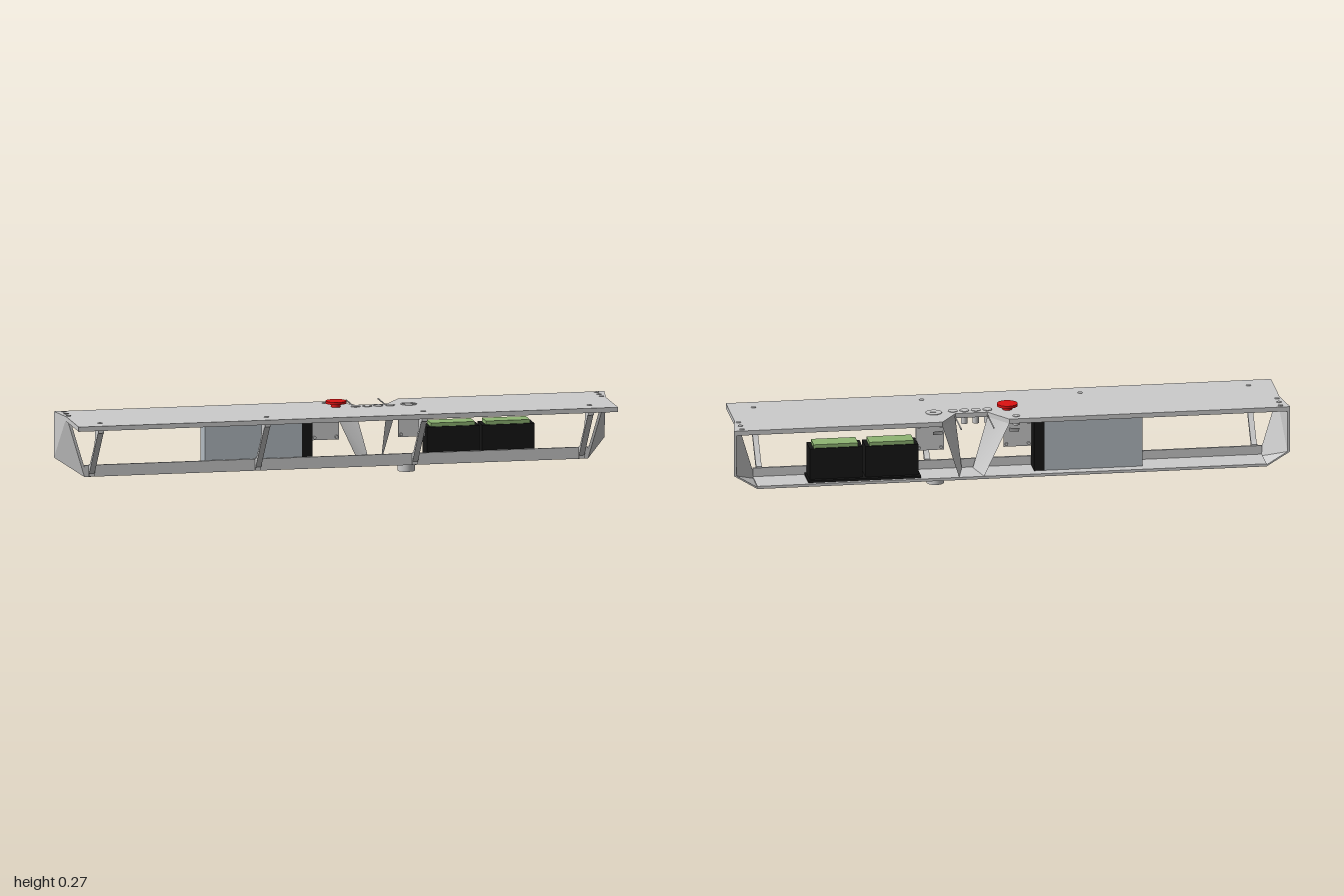
import * as THREE from 'three';

const mat = (color = 0xcccccc, side = THREE.FrontSide) =>
  new THREE.MeshStandardMaterial({ color, side, flatShading: false });
const grey = mat(), red = mat(0xdd1111), black = mat(0x151515), green = mat(0x8fb573), steel = mat(0xb4bcc2);

export function createModel() {
  const root = new THREE.Group();
  const add = (name, geo, material = grey, parent = root) => {
    const m = new THREE.Mesh(geo, material);
    m.name = name;
    parent.add(m);
    return m;
  };
  // Box given by its limits on each axis
  const box = (name, x0, x1, y0, y1, z0, z1, material = grey) =>
    add(name, new THREE.BoxGeometry(x1 - x0, y1 - y0, z1 - z0)
      .translate((x0 + x1) / 2, (y0 + y1) / 2, (z0 + z1) / 2), material);
  // Upright cylinder between two heights
  const post = (name, r, x, z, y0, y1, material = grey) =>
    add(name, new THREE.CylinderGeometry(r, r, y1 - y0, 32).translate(x, (y0 + y1) / 2, z), material);
  const shapeOf = pts => new THREE.Shape(pts.map(p => new THREE.Vector2(...p)));

  // Top plate with a notch in its back edge (outline in x, -z)
  const top = shapeOf([
    [-0.98, -0.2], [0.98, -0.2], [0.98, 0.01], [1, 0.133],
    [0.25, 0.133], [0.19, 0.04], [0.075, 0.04], [0.01, 0.133],
    [-1, 0.133], [-0.98, 0.01],
  ]);
  add('topPlate', new THREE.ExtrudeGeometry(top, { depth: 0.017, bevelEnabled: false })
    .rotateX(-Math.PI / 2).translate(0, 0.23, 0));

  // Bottom tray: floor and front lip
  box('bottomPlate', -0.915, 0.915, 0.028, 0.038, -0.133, -0.01);
  box('frontLip', -0.915, 0.915, 0.028, 0.07, -0.018, -0.01);

  // Folded end panels, made of three facets with a wall thickness
  const d = [0.98, 0.247, -0.01], c = [0.915, 0.028, -0.01], e = [0.915, 0.028, -0.133];
  const b = [1, 0.08, -0.133], a = [1, 0.2465, -0.133];
  const rim = [d, c, e, b, a];
  const inner = p => [p[0] - 0.01, p[1], p[2]];
  const tris = [];
  for (const [p, q, r] of [[d, c, b], [d, b, a], [c, e, b]])
    tris.push(p, q, r, inner(p), inner(r), inner(q));
  rim.forEach((p, i) => {
    const q = rim[(i + 1) % rim.length];
    tris.push(p, inner(p), inner(q), p, inner(q), q);
  });
  const endGeo = new THREE.BufferGeometry();
  endGeo.setAttribute('position', new THREE.Float32BufferAttribute(tris.flat(), 3));
  endGeo.computeVertexNormals();

  // Curved braces under the overhang (outline in z, y)
  const brace = new THREE.Shape();
  brace.moveTo(0.163, 0.23);
  brace.lineTo(0.163, 0.215);
  brace.lineTo(0.152, 0.212);
  brace.lineTo(0, 0.042);
  brace.lineTo(0, 0.03);
  brace.lineTo(-0.01, 0.03);
  brace.lineTo(-0.01, 0.073);
  brace.quadraticCurveTo(0.005, 0.07, 0.018, 0.084);
  brace.lineTo(0.078, 0.148);
  brace.quadraticCurveTo(0.105, 0.178, 0.105, 0.215);
  brace.lineTo(0.105, 0.23);
  const braceGeo = new THREE.ExtrudeGeometry(brace, { depth: 0.02, bevelEnabled: false, curveSegments: 10 })
    .rotateY(-Math.PI / 2).translate(0.01, 0, 0);

  for (const s of [-1, 1]) {
    add('endPanel', endGeo).scale.x = s;
    for (const x of [0.285, 0.89]) {
      add('brace', braceGeo).position.x = s * x;
      post('braceScrew', 0.009, s * x, 0.138, 0.24, 0.249);
    }
    for (const z of [-0.115, -0.073, -0.03]) post('endScrew', 0.009, s * 0.968, z, 0.24, 0.249);
  }

  // Slanted funnel walls running down from the notch
  const wall = (name, pts) => {
    const g = new THREE.BufferGeometry();
    g.setAttribute('position', new THREE.Float32BufferAttribute(pts.flat(), 3));
    g.setIndex([0, 1, 2, 0, 2, 3]);
    g.computeVertexNormals();
    add(name, g, mat(0xcccccc, THREE.DoubleSide));
  };
  wall('rightFunnelWall', [[0.01, 0.23, -0.133], [0.075, 0.23, -0.04], [0.125, 0.038, -0.025], [0.1, 0.038, -0.133]]);
  wall('leftFunnelWall', [[0.25, 0.23, -0.133], [0.19, 0.23, -0.04], [0.165, 0.038, -0.025], [0.19, 0.038, -0.133]]);
  // Small tabs and thin rods at the notch
  for (const [x, s] of [[0.01, -1], [0.25, 1]])
    wall('notchTab', [[x, 0.215, -0.133], [x + s * 0.035, 0.215, -0.143], [x + s * 0.035, 0.2, -0.133], [x, 0.2, -0.133]]);
  for (const x of [0.075, 0.192]) box('notchRod', x - 0.002, x + 0.002, 0.236, 0.239, -0.2, -0.04);

  // Emergency button
  post('buttonCap', 0.037, 0, -0.015, 0.26, 0.269, red);
  post('buttonStem', 0.017, 0, -0.015, 0.247, 0.26, red);
  post('buttonBody', 0.018, 0, -0.015, 0.2, 0.23);

  // Row of push buttons, dial and small socket
  for (const x of [0.07, 0.112, 0.153, 0.195]) {
    post('pushButton', 0.017, x, -0.008, 0.225, 0.249);
    post('pushButtonBody', 0.012, x, -0.008, 0.2, 0.225);
  }
  post('dial', 0.029, 0.265, -0.018, 0.222, 0.249);
  box('dialSlot', 0.24, 0.29, 0.249, 0.25, -0.021, -0.015);
  post('smallSocket', 0.013, -0.02, -0.097, 0.215, 0.249);

  // Round foot connector under the tray
  post('bottomConnector', 0.031, 0.265, -0.06, 0, 0.03);

  // Power supply with dark terminal end
  box('powerSupply', -0.475, -0.122, 0.038, 0.222, -0.095, -0.02, steel);
  box('powerTerminal', -0.122, -0.085, 0.038, 0.222, -0.095, -0.02, black);

  // Two driver modules on a carrier
  box('moduleCarrier', 0.325, 0.73, 0.038, 0.046, -0.12, -0.02, black);
  for (const x of [0.333, 0.533]) {
    box('driverModule', x, x + 0.19, 0.046, 0.16, -0.105, -0.025, black);
    box('driverTop', x + 0.015, x + 0.175, 0.16, 0.173, -0.1, -0.03, green);
  }

  // Mounting plates either side of the funnel, with corner screws
  for (const x of [-0.08, 0.235]) {
    box('circuitPlate', x, x + 0.1, 0.122, 0.23, -0.062, -0.055);
    for (const dx of [0.01, 0.09]) for (const y of [0.132, 0.21])
      add('plateScrew', new THREE.CylinderGeometry(0.006, 0.006, 0.02, 12)
        .rotateX(Math.PI / 2).translate(x + dx, y, -0.058));
  }
  return root;
}
